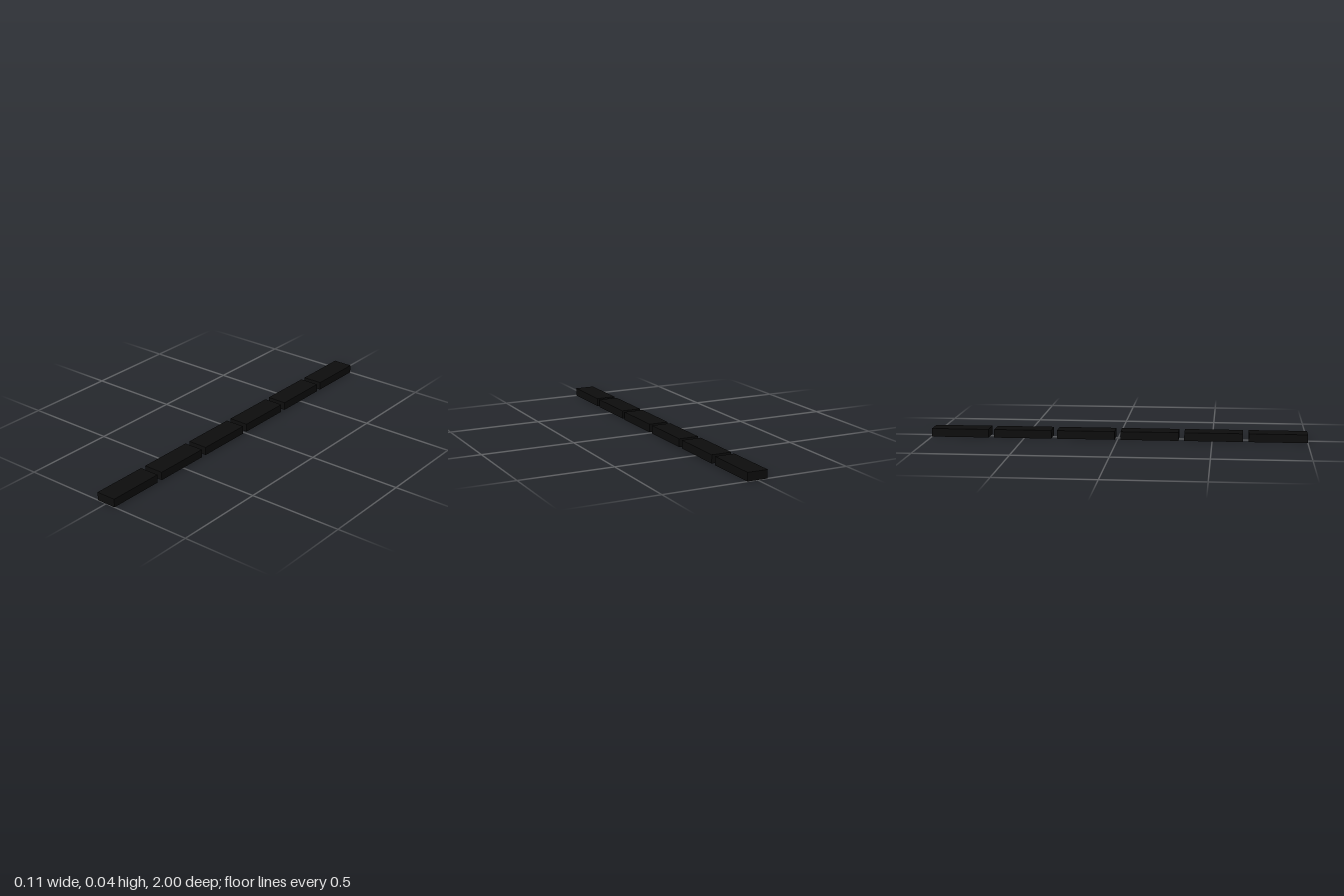
import * as THREE from 'three';

export function createModel() {
  const model = new THREE.Group();
  model.name = 'dashedStrip';

  const count = 6, width = 0.109, height = 0.044, length = 0.308;
  const pitch = (2 - length) / (count - 1);
  const material = new THREE.MeshStandardMaterial({ color: 0x0d0d0d });
  const geometry = new THREE.BoxGeometry(width, height, length);

  // Row of equal bars with narrow gaps between them
  for (let i = 0; i < count; i++) {
    const bar = new THREE.Mesh(geometry, material);
    bar.name = `bar${i + 1}`;
    bar.position.set(0, height / 2, (i - (count - 1) / 2) * pitch);
    model.add(bar);
  }
  return model;
}
